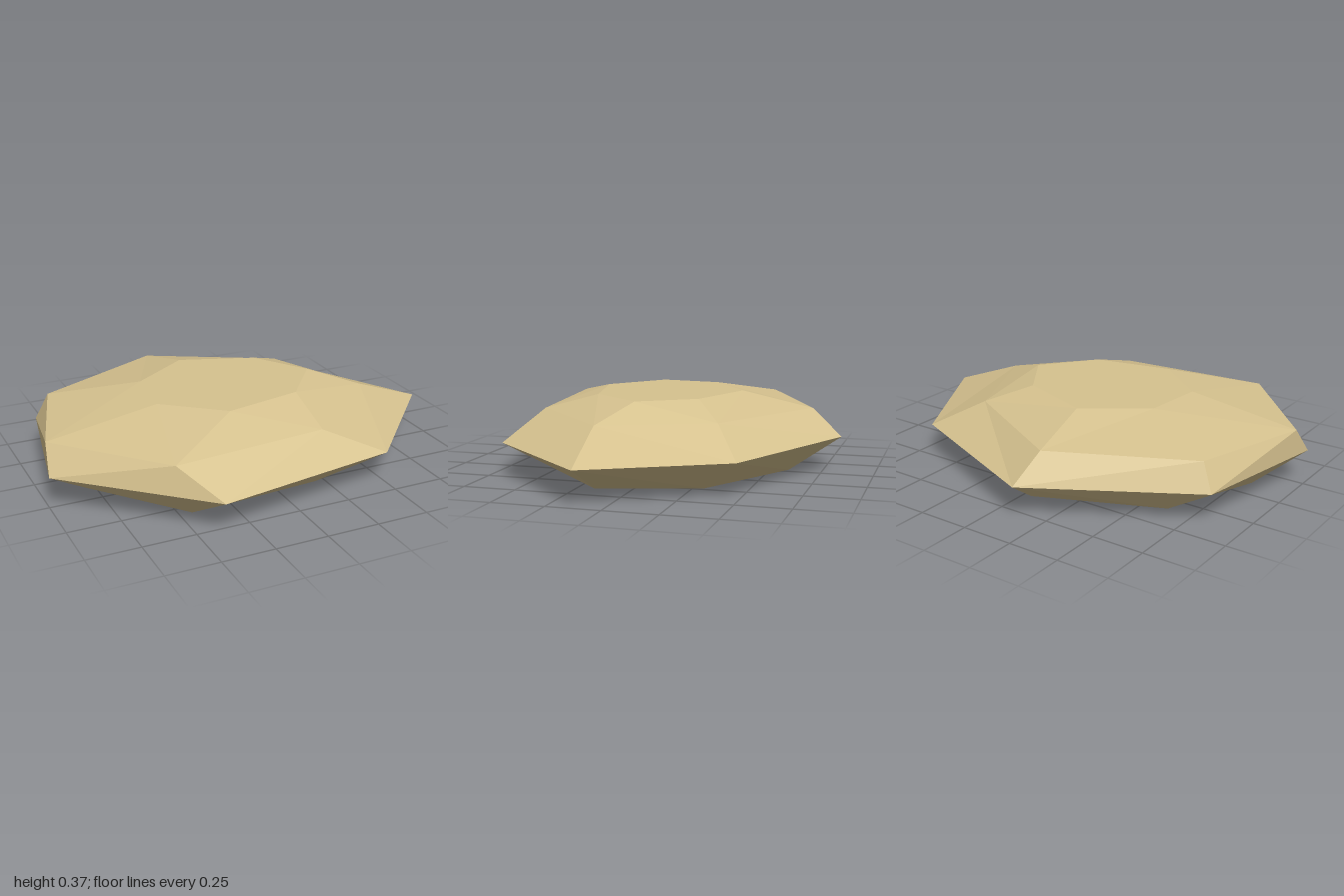
import * as THREE from 'three';

export function createModel() {
  const group = new THREE.Group();
  group.name = 'rock';
  const stone = new THREE.MeshStandardMaterial({ color: 0xd6c28f, flatShading: true });
  stone.name = 'sandstone';

  // Seven-sided cross-sections from the ground up, each as height and [x, z] corners
  const rings = [
    { y: 0, p: [[-0.04, -0.59], [0.48, -0.3], [0.62, 0.17], [0.21, 0.52], [-0.44, 0.56], [-0.8, 0.12], [-0.62, -0.34]] },
    { y: 0.16, p: [[-0.13, -0.83], [0.66, -0.49], [1, 0.13], [0.49, 0.68], [-0.4, 0.83], [-1, 0.28], [-0.87, -0.4]] },
    { y: 0.29, p: [[-0.17, -0.68], [0.43, -0.35], [0.65, 0.16], [0.2, 0.58], [-0.55, 0.65], [-0.98, 0.18], [-0.81, -0.37]] },
    { y: 0.37, p: [[-0.12, -0.34], [0.24, -0.21], [0.41, -0.05 + 0.1], [0.21, 0.3], [-0.17, 0.38], [-0.44, 0.16], [-0.41, -0.14]] },
  ].map(({ y, p }) => p.map(([x, z]) => [x, y, z]));

  // Which way each facet between two rings is split: 1 rises forward, 0 falls
  const splits = ['1111111', '1100000', '0111110'];

  const build = (name, triangles) => {
    const geometry = new THREE.BufferGeometry();
    geometry.setAttribute('position', new THREE.Float32BufferAttribute(triangles.flat(2), 3));
    geometry.computeVertexNormals();
    const mesh = new THREE.Mesh(geometry, stone);
    mesh.name = name;
    group.add(mesh);
  };

  // Faceted bands of the sides
  ['undercut', 'lowerSlope', 'upperSlope'].forEach((name, b) => {
    const lo = rings[b], hi = rings[b + 1], triangles = [];
    for (let i = 0; i < 7; i++) {
      const j = (i + 1) % 7;
      if (splits[b][i] === '1') triangles.push([lo[i], hi[i], hi[j]], [lo[i], hi[j], lo[j]]);
      else triangles.push([lo[i], hi[i], lo[j]], [hi[i], hi[j], lo[j]]);
    }
    build(name, triangles);
  });

  // Flat top and underside
  const top = [], base = [];
  for (let k = 1; k < 6; k++) {
    top.push([rings[3][0], rings[3][k + 1], rings[3][k]]);
    base.push([rings[0][0], rings[0][k], rings[0][k + 1]]);
  }
  build('flatTop', top);
  build('underside', base);
  return group;
}
